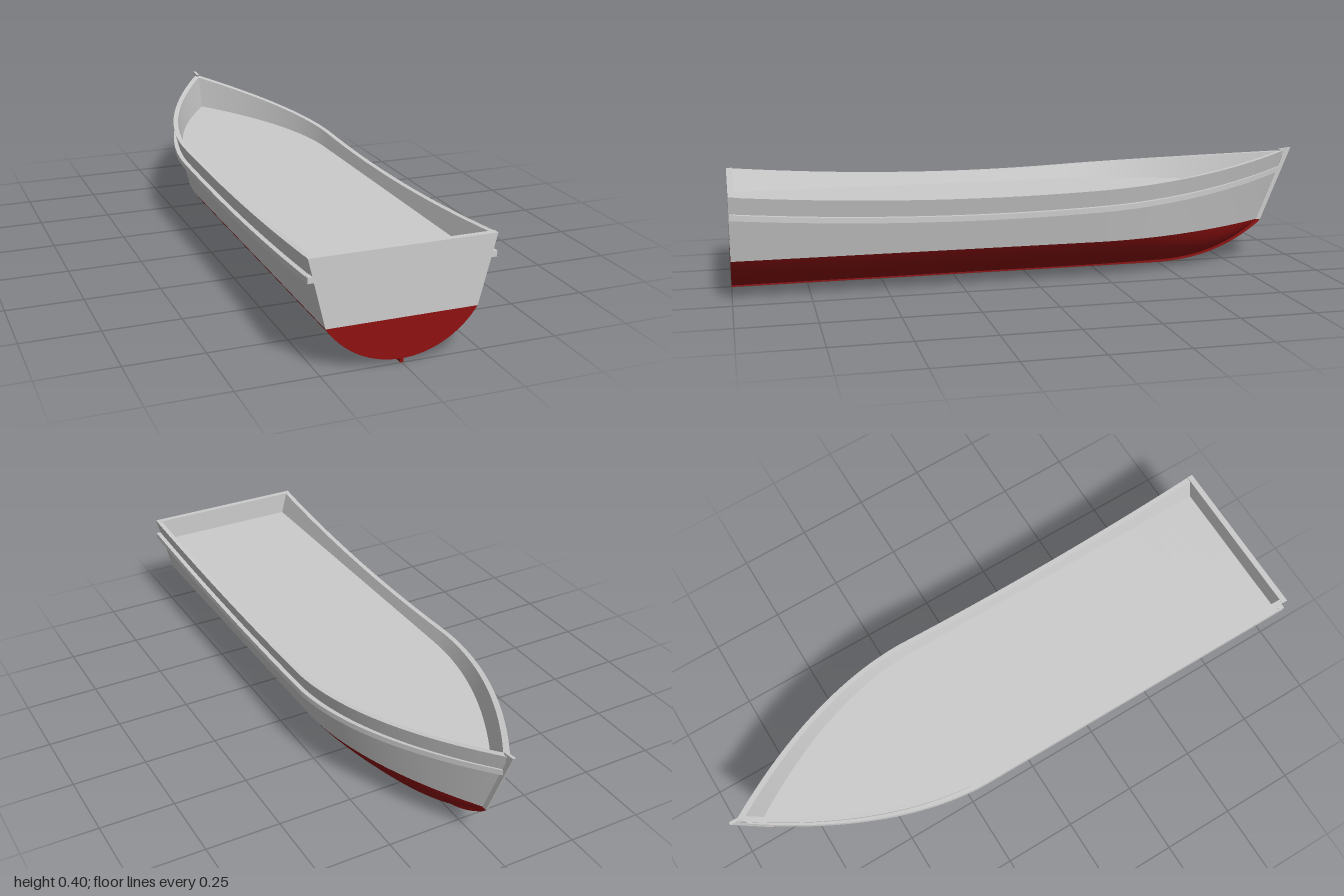
import * as THREE from 'three';

const GREY = 0xcccccc, RED = 0x8f1010;
const WATER = 0.14, DECK = 0.275, WALL = 0.017, STATIONS = 56, STRAIGHT = 0.4;
const V = (x, y, z) => new THREE.Vector3(x, y, z);

const sheer = z => 0.316 + 0.0566 * (z - 0.17) ** 2;
const keelLine = z => 0.013 + 0.127 * Math.max(0, (-0.45 - z) / 0.43) ** 2.6;

// Point on the flared topside: u runs from stern (0) to stem (1), inset moves it inboard
function hull(u, y, inset = 0, tip = 1.9) {
  const stem = -0.88 - 0.4 * (y - WATER) + inset * tip;
  const w = 0.235 + 0.25 * (y - WATER) - inset;
  if (u < STRAIGHT) return V(w, y, 1 - 1.2 * u / STRAIGHT);
  const t = (u - STRAIGHT) / (1 - STRAIGHT);
  return V(w * (1 - t ** 1.85), y, -0.2 + t * (stem + 0.2));
}

// Same, on a line running parallel to the sheer
function sheerPoint(u, drop = 0, inset = 0, tip = 1.9) {
  let y = 0.33;
  for (let i = 0; i < 4; i++) y = sheer(hull(u, y, inset, tip).z) - drop;
  return hull(u, y, inset, tip);
}

function material(color) {
  return new THREE.MeshStandardMaterial({ color, side: THREE.DoubleSide });
}

// Smooth skin through rows of cross-section points, made for one side of the boat
function skin(section, side) {
  const pos = [], idx = [];
  let n = 0;
  for (let i = 0; i <= STATIONS; i++) {
    const row = section(i / STATIONS);
    n = row.length;
    row.forEach(p => pos.push(p.x * side, p.y, p.z));
  }
  for (let i = 0; i < STATIONS; i++) {
    for (let j = 0; j < n - 1; j++) {
      const a = i * n + j, b = a + 1, c = a + n, d = c + 1;
      if (side > 0) idx.push(a, c, b, b, c, d);
      else idx.push(a, b, c, b, d, c);
    }
  }
  const g = new THREE.BufferGeometry();
  g.setAttribute('position', new THREE.Float32BufferAttribute(pos, 3));
  g.setIndex(idx);
  g.computeVertexNormals();
  return g;
}

// Flat plate drawn in side profile from [z, y] points, centred on x = 0
function profilePlate(points, width) {
  const shape = new THREE.Shape(points.map(([z, y]) => new THREE.Vector2(-z, y)));
  const g = new THREE.ExtrudeGeometry(shape, { depth: width, bevelEnabled: false });
  return g.translate(0, 0, -width / 2).rotateY(Math.PI / 2);
}

export function createModel() {
  const boat = new THREE.Group();
  boat.name = 'boat';
  const add = (name, geometry, color = GREY) => {
    const mesh = new THREE.Mesh(geometry, material(color));
    mesh.name = name;
    boat.add(mesh);
  };

  // Round bottom section: a circular arc scaled to half-width w and depth
  const ARC = Math.asin(0.235 / 0.281), ARC_STEPS = 16;
  const arcPoint = (j, w, depth) => {
    const a = ARC * j / ARC_STEPS;
    const drop = (Math.cos(a) - Math.cos(ARC)) / (1 - Math.cos(ARC));
    return [w * Math.sin(a) / Math.sin(ARC), WATER - depth * drop];
  };
  const bottomSection = u => {
    const edge = hull(u, WATER), depth = WATER - keelLine(edge.z);
    return Array.from({ length: ARC_STEPS + 1 }, (_, j) => {
      const [x, y] = arcPoint(j, edge.x, depth);
      return V(x, y, edge.z);
    });
  };

  const outer = u => sheerPoint(u);
  const inner = u => sheerPoint(u, 0, WALL);
  const deckEdge = u => hull(u, DECK, WALL);
  const rail = (u, drop, inset) => sheerPoint(u, drop, inset, 0.7);
  const railOut = (u, drop, base) => {
    const p = rail(u, base, -0.018);
    p.y += base - drop;
    return p;
  };

  for (const side of [1, -1]) {
    const label = side > 0 ? 'left' : 'right';
    const addSkin = (name, section, color) => add(label + name, skin(section, side), color);

    addSkin('Bottom', bottomSection, RED);
    addSkin('Topside', u => {
      const top = outer(u).y;
      return [0, 1, 2, 3, 4].map(j => hull(u, WATER + (top - WATER) * j / 4));
    });
    addSkin('BulwarkCap', u => [outer(u), inner(u)]);
    addSkin('BulwarkInside', u => [inner(u), deckEdge(u)]);
    addSkin('Deck', u => {
      const e = deckEdge(u);
      return [e, V(0, DECK, e.z)];
    });

    // Rubbing rail: underside, outer face and top
    addSkin('RailUnderside', u => [rail(u, 0.073, 0.002), railOut(u, 0.073, 0.064)]);
    addSkin('RailFace', u => [railOut(u, 0.073, 0.064), railOut(u, 0.055, 0.064)]);
    addSkin('RailTop', u => [railOut(u, 0.055, 0.064), rail(u, 0.055, 0.002)]);
    add(label + 'RailEnd',
      new THREE.BoxGeometry(0.022, 0.018, 0.02).translate(side * 0.278, 0.291, 0.99));
  }

  // Transom: grey board above the waterline, red arc below
  const top = sheer(1), w = 0.235 + 0.25 * (top - WATER);
  const board = new THREE.Shape([[-0.235, WATER], [0.235, WATER], [w, top], [-w, top]]
    .map(p => new THREE.Vector2(...p)));
  add('transom', new THREE.ExtrudeGeometry(board, { depth: 0.02, bevelEnabled: false })
    .translate(0, 0, 0.98));
  const arc = [];
  for (let j = -ARC_STEPS; j <= ARC_STEPS; j++) {
    arc.push(new THREE.Vector2(...arcPoint(j, 0.235, WATER - 0.013)));
  }
  add('lowerTransom', new THREE.ShapeGeometry(new THREE.Shape(arc)).translate(0, 0, 1), RED);

  // Keel strip under the bottom, then the stem bar up the bow
  const low = [[1, 0]], high = [[1, 0.018]];
  for (let i = 0; i <= 20; i++) {
    const z = -0.45 - 0.43 * i / 20, y = keelLine(z);
    low.push([z, y - 0.013]);
    high.push([z, Math.min(WATER, y + 0.005)]);
  }
  add('keel', profilePlate([...low, [-0.892, WATER], ...high.reverse()], 0.01), RED);
  add('stem', profilePlate(
    [[-0.892, WATER], [-1, 0.4], [-0.955, 0.395], [-0.97, 0.37], [-0.875, WATER]], 0.01));

  return boat;
}
